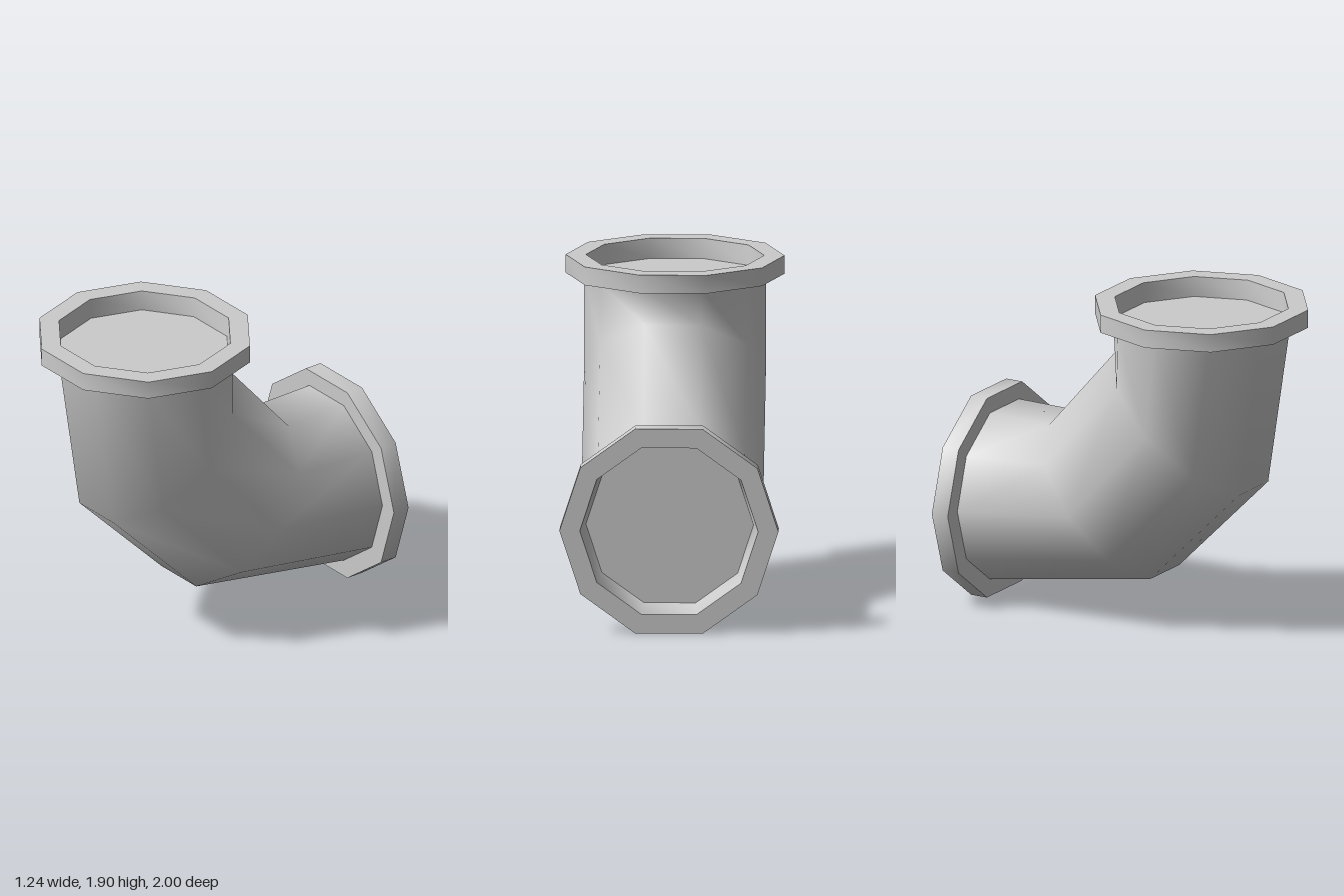
import * as THREE from 'three';
import { toCreasedNormals } from 'three/addons/utils/BufferGeometryUtils.js';

const SIDES = 10;
const material = new THREE.MeshStandardMaterial({ color: 0xcccccc });

// Ten-sided collar with a shallow recess closed by a flat floor; opens towards +y
function makeFlange(name, depth, floorRadius) {
  const height = 0.105;
  const profile = [
    [0.49, 0], [0.62, 0], [0.62, height], [0.505, height],
    [floorRadius, height - depth], [0, height - depth],
  ].map(([r, y]) => new THREE.Vector2(r, y));
  const lathe = new THREE.LatheGeometry(profile, SIDES, Math.PI / SIDES);
  const mesh = new THREE.Mesh(toCreasedNormals(lathe, 0.7), material);
  mesh.name = name;
  return mesh;
}

// Bent pipe: ten-sided rings, each spanning an outer and an inner (z, y) point of the bend
function makeElbow() {
  const rings = [
    { outer: [0.90, 1.80], inner: [-0.08, 1.80] },
    { outer: [0.755, 0.86], inner: [-0.055, 1.59] },
    { outer: [0.165, 0.27], inner: [-0.50, 1.08] },
    { outer: [-0.895, 0.10], inner: [-0.895, 1.085] },
  ];
  const halfWidth = 0.515;
  const flat = Math.cos(Math.PI / SIDES);
  const positions = [];
  const index = [];
  rings.forEach(({ outer, inner }, i) => {
    for (let k = 0; k < SIDES; k++) {
      const a = (k / SIDES) * Math.PI * 2;
      const t = 0.5 + (0.5 * Math.sin(a)) / flat;
      positions.push(
        halfWidth * Math.cos(a),
        THREE.MathUtils.lerp(inner[1], outer[1], t),
        THREE.MathUtils.lerp(inner[0], outer[0], t),
      );
      if (i < rings.length - 1) {
        const p = i * SIDES + k;
        const q = i * SIDES + ((k + 1) % SIDES);
        index.push(p, q, p + SIDES, q, q + SIDES, p + SIDES);
      }
    }
  });
  const geometry = new THREE.BufferGeometry();
  geometry.setAttribute('position', new THREE.Float32BufferAttribute(positions, 3));
  geometry.setIndex(index);
  geometry.computeVertexNormals();
  const mesh = new THREE.Mesh(geometry, material);
  mesh.name = 'elbowPipe';
  return mesh;
}

export function createModel() {
  const group = new THREE.Group();
  group.name = 'pipeElbow';

  const topFlange = makeFlange('topFlange', 0.115, 0.495);
  topFlange.position.set(0, 1.8, 0.41);

  const backFlange = makeFlange('backFlange', 0.2, 0.475);
  backFlange.rotation.x = -Math.PI / 2;
  backFlange.position.set(0, 0.59, -0.895);

  group.add(makeElbow(), topFlange, backFlange);
  return group;
}
